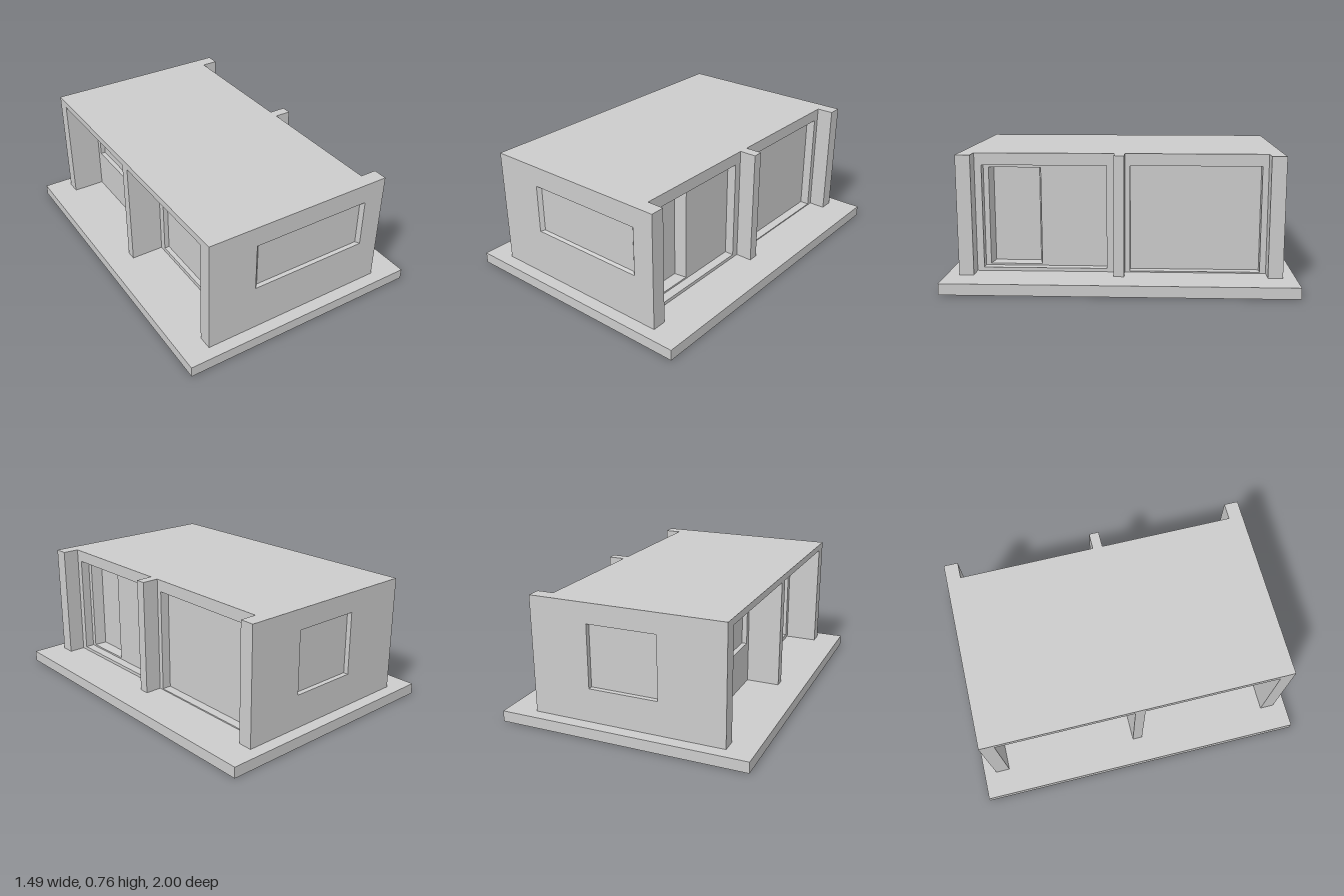
import * as THREE from 'three';

const material = new THREE.MeshStandardMaterial({ color: 0xcccccc, flatShading: true });
const FLOOR = 0.065, SOFFIT = 0.72, TOP = 0.76;
const BACK_X = -0.59, FIN_X = 0.565, WALL_X = 0.465;

function addMesh(parent, name, geometry) {
  const mesh = new THREE.Mesh(geometry, material);
  mesh.name = name;
  parent.add(mesh);
  return mesh;
}

// Box given by its limits on each axis
function addBox(parent, name, [x0, x1], [y0, y1], [z0, z1]) {
  const mesh = addMesh(parent, name, new THREE.BoxGeometry(x1 - x0, y1 - y0, z1 - z0));
  mesh.position.set((x0 + x1) / 2, (y0 + y1) / 2, (z0 + z1) / 2);
}

const corners = ([u0, u1, y0, y1]) =>
  [[u0, y0], [u1, y0], [u1, y1], [u0, y1]].map(([x, y]) => new THREE.Vector2(x, y));

// Sloping sides of a window recess, narrowing from the outer to the inner rectangle
function revealGeometry(outer, inner, depth) {
  const pos = [], index = [];
  for (const p of corners(outer)) pos.push(p.x, p.y, 0);
  for (const p of corners(inner)) pos.push(p.x, p.y, -depth);
  for (let i = 0; i < 4; i++) {
    const j = (i + 1) % 4;
    index.push(i, j, j + 4, i, j + 4, i + 4);
  }
  const geometry = new THREE.BufferGeometry();
  geometry.setAttribute('position', new THREE.Float32BufferAttribute(pos, 3));
  geometry.setIndex(index);
  const flat = geometry.toNonIndexed();
  flat.computeVertexNormals();
  return flat;
}

// Direction each wall faces, and the sign from world coordinate to its local x
const SIDES = {
  front: { turn: 0, sign: 1, axis: 'z', out: 1 },
  back: { turn: Math.PI, sign: -1, axis: 'z', out: -1 },
  left: { turn: Math.PI / 2, sign: -1, axis: 'x', out: 1 },
  right: { turn: -Math.PI / 2, sign: 1, axis: 'x', out: -1 },
};

// Wall with a rectangular recess; rectangles are [u0, u1, y0, y1]
function addWall(parent, name, side, at, rect, hole, { depth, thick, splay }) {
  const { turn, sign, axis, out } = SIDES[side];
  const local = ([a, b, y0, y1]) => [Math.min(a * sign, b * sign), Math.max(a * sign, b * sign), y0, y1];
  const group = new THREE.Group();
  group.name = name;
  group.rotation.y = turn;
  group.position[axis] = at * out;
  parent.add(group);

  const r = local(rect), h = local(hole);
  const shape = new THREE.Shape(corners(r));
  shape.holes.push(new THREE.Path(corners(h).reverse()));
  const face = new THREE.ExtrudeGeometry(shape, { depth, bevelEnabled: false });
  addMesh(group, 'wallFace', face.translate(0, 0, -depth));
  if (thick > depth) addBox(group, 'pane', [r[0], r[1]], [r[2], r[3]], [-thick, -depth]);
  if (splay) {
    const [su, sy] = splay;
    const inner = [h[0] + su, h[1] - su, h[2] + sy, h[3] - sy];
    addMesh(group, 'windowReveal', revealGeometry(h, inner, depth));
  }
}

export function createModel() {
  const model = new THREE.Group();
  model.name = 'house';

  addBox(model, 'baseSlab', [-0.745, 0.745], [0, FLOOR], [-1, 1]);

  // End walls with their windows, and the dividing wall
  const endRect = [BACK_X, FIN_X, FLOOR, TOP];
  addWall(model, 'frontWall', 'front', 0.925, endRect, [-0.295, 0.435, 0.35, 0.64],
    { depth: 0.02, thick: 0.085, splay: [0.02, 0.008] });
  addWall(model, 'backWall', 'back', 0.925, endRect, [-0.2, 0.215, 0.265, 0.64],
    { depth: 0.03, thick: 0.085 });
  addBox(model, 'dividingWall', [BACK_X, FIN_X], [FLOOR, TOP], [-0.025, 0.035]);

  // Two bays between the walls
  const bays = [
    { name: 'frontBay', z: [0.035, 0.84], left: [0.08, 0.8, 0.085, 0.69], right: [0.08, 0.8, 0.09, 0.69] },
    { name: 'backBay', z: [-0.84, -0.025], left: [-0.805, -0.055, 0.072, 0.69], right: [-0.805, -0.06, 0.32, 0.69] },
  ];
  for (const bay of bays) {
    const group = new THREE.Group();
    group.name = bay.name;
    model.add(group);
    const rect = [...bay.z, FLOOR, SOFFIT];
    const hasDoor = bay.name === 'frontBay';

    addBox(group, 'roof', [BACK_X, WALL_X], [SOFFIT, TOP], bay.z);
    addWall(group, 'finSideWall', 'left', WALL_X, rect, bay.left,
      { depth: 0.055, thick: hasDoor ? 0.055 : 0.085 });
    // Set-back wall under the porch
    addWall(group, 'porchWall', 'right', 0.39, rect, bay.right, { depth: 0.03, thick: 0.06 });
    // Doorway set into the recessed pane
    if (hasDoor) {
      addWall(group, 'doorWall', 'left', WALL_X - 0.055, rect, [0.465, 0.77, 0.095, 0.67],
        { depth: 0.07, thick: 0.1, splay: [0.017, 0.005] });
    }
  }
  return model;
}
